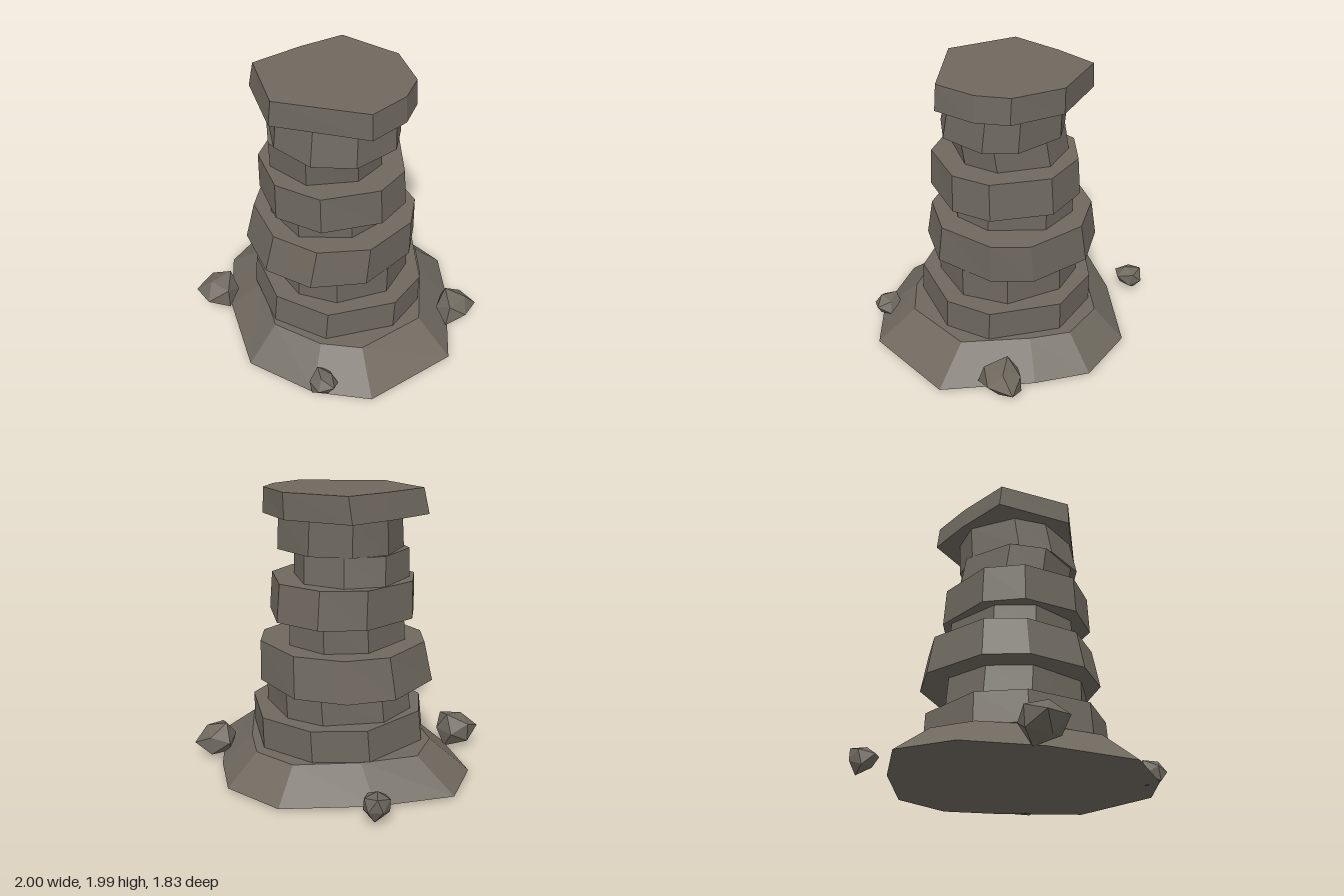
import * as THREE from 'three';

const stone = new THREE.MeshStandardMaterial({ color: 0x6e685e });
stone.name = 'stone';

// Flat-faced slab between two rings of [x, z] points; dip lowers the middle of its underside.
function slab(name, y0, y1, low, high, dip = 0) {
  const middle = (ring, y) => {
    const c = new THREE.Vector3(0, y, 0);
    ring.forEach(([x, z]) => { c.x += x / ring.length; c.z += z / ring.length; });
    return c;
  };
  const b = low.map(([x, z]) => new THREE.Vector3(x, y0, z));
  const t = high.map(([x, z]) => new THREE.Vector3(x, y1, z));
  const bottom = middle(low, y0 - dip), top = middle(high, y1);
  const pts = [];
  for (let i = 0; i < b.length; i++) {
    const j = (i + 1) % b.length;
    pts.push(b[i], t[i], t[j], b[i], t[j], b[j], top, t[j], t[i], bottom, b[i], b[j]);
  }
  const geo = new THREE.BufferGeometry().setFromPoints(pts);
  geo.computeVertexNormals();
  const mesh = new THREE.Mesh(geo, stone);
  mesh.name = name;
  return mesh;
}

// A ring stretched to the limits xMin, xMax, zMin, zMax.
function fitRing(ring, x0, x1, z0, z1) {
  const box = new THREE.Box2().setFromPoints(ring.map(([x, z]) => new THREE.Vector2(x, z)));
  const { min, max } = box;
  return ring.map(([x, z]) => [
    THREE.MathUtils.mapLinear(x, min.x, max.x, x0, x1),
    THREE.MathUtils.mapLinear(z, min.y, max.y, z0, z1),
  ]);
}

// Slightly uneven polygon whose first corner lies at the given angle (0 = +x, 90 = +z).
function polygon(sides, start) {
  return Array.from({ length: sides }, (_, i) => {
    const a = THREE.MathUtils.degToRad(start + i * 360 / sides + 5 * Math.sin(i * 2.4));
    return [Math.cos(a), Math.sin(a)];
  });
}

// Irregular boulder filling the box between two corners.
function boulder(name, min, max, seed) {
  const geo = new THREE.IcosahedronGeometry(1, 0);
  const p = geo.attributes.position;
  const turn = new THREE.Euler(seed, seed * 2, 0);
  for (let i = 0; i < p.count; i++) {
    const v = new THREE.Vector3().fromBufferAttribute(p, i);
    const phase = Math.round(v.x * 9) * 1.7 + Math.round(v.y * 9) * 2.3 + Math.round(v.z * 9) * 0.9;
    v.multiplyScalar(1 + 0.16 * Math.sin(seed * 3.1 + phase)).applyEuler(turn);
    p.setXYZ(i, v.x, v.y, v.z);
  }
  geo.center();
  const size = geo.boundingBox.getSize(new THREE.Vector3());
  const lo = new THREE.Vector3(...min), hi = new THREE.Vector3(...max);
  geo.scale(...hi.clone().sub(lo).divide(size).toArray());
  geo.computeVertexNormals();
  const mesh = new THREE.Mesh(geo, stone);
  mesh.position.copy(lo.add(hi).multiplyScalar(0.5));
  mesh.name = name;
  return mesh;
}

export function createModel() {
  const model = new THREE.Group();
  model.name = 'rockPillar';

  // Sloping foot
  const foot = [[1, -0.02], [0.79, 0.63], [0.44, 0.83], [-0.08, 0.91], [-0.6, 0.57], [-0.95, 0.19],
    [-1, -0.22], [-0.6, -0.59], [-0.07, -0.92], [0.38, -0.85], [0.64, -0.56]];
  model.add(slab('foot', 0.025, 0.235, foot, fitRing(foot, -0.71, 0.72, -0.7, 0.66), 0.025));

  // Stacked layers, each with its own outline and taper
  const layer = (name, y0, y1, outline, low, high) =>
    model.add(slab(name, y0, y1, fitRing(outline, ...low), fitRing(outline, ...high)));
  layer('layer1', 0.235, 0.455, polygon(9, 98), [-0.63, 0.615, -0.61, 0.62], [-0.61, 0.615, -0.61, 0.6]);
  layer('layer2', 0.455, 0.665, polygon(9, 10), [-0.535, 0.5, -0.49, 0.485], [-0.51, 0.5, -0.49, 0.485]);
  layer('layer3', 0.665, 0.945, polygon(10, 98), [-0.665, 0.52, -0.62, 0.61], [-0.61, 0.52, -0.585, 0.545]);
  layer('layer4', 0.945, 1.115, polygon(8, 80), [-0.47, 0.355, -0.45, 0.44], [-0.46, 0.35, -0.45, 0.44]);
  layer('layer5', 1.115, 1.375, polygon(9, 99), [-0.54, 0.485, -0.505, 0.535], [-0.535, 0.47, -0.48, 0.525]);
  layer('layer6', 1.375, 1.57, polygon(8, 69), [-0.455, 0.3, -0.36, 0.4], [-0.44, 0.315, -0.33, 0.42]);
  layer('layer7', 1.57, 1.81, polygon(9, 73), [-0.43, 0.435, -0.4, 0.44], [-0.43, 0.415, -0.4, 0.395]);

  // Wide cap
  const cap = [[0.51, -0.04], [0.47, 0.26], [-0.135, 0.52], [-0.58, 0.22], [-0.48, -0.16],
    [-0.36, -0.47], [0.13, -0.48], [0.44, -0.26]];
  model.add(slab('cap', 1.81, 1.985, cap, fitRing(cap, -0.54, 0.495, -0.48, 0.51)));

  // Boulders around the foot
  model.add(
    boulder('frontRightBoulder', [-0.83, 0.02, 0.44], [-0.545, 0.28, 0.75], 1),
    boulder('frontLeftBoulder', [0.39, 0.02, 0.66], [0.585, 0.18, 0.86], 2),
    boulder('backLeftBoulder', [0.66, 0.02, -0.53], [0.93, 0.26, -0.23], 3),
    boulder('backRightBoulder', [-0.76, 0.03, -0.84], [-0.585, 0.21, -0.62], 4));
  return model;
}
